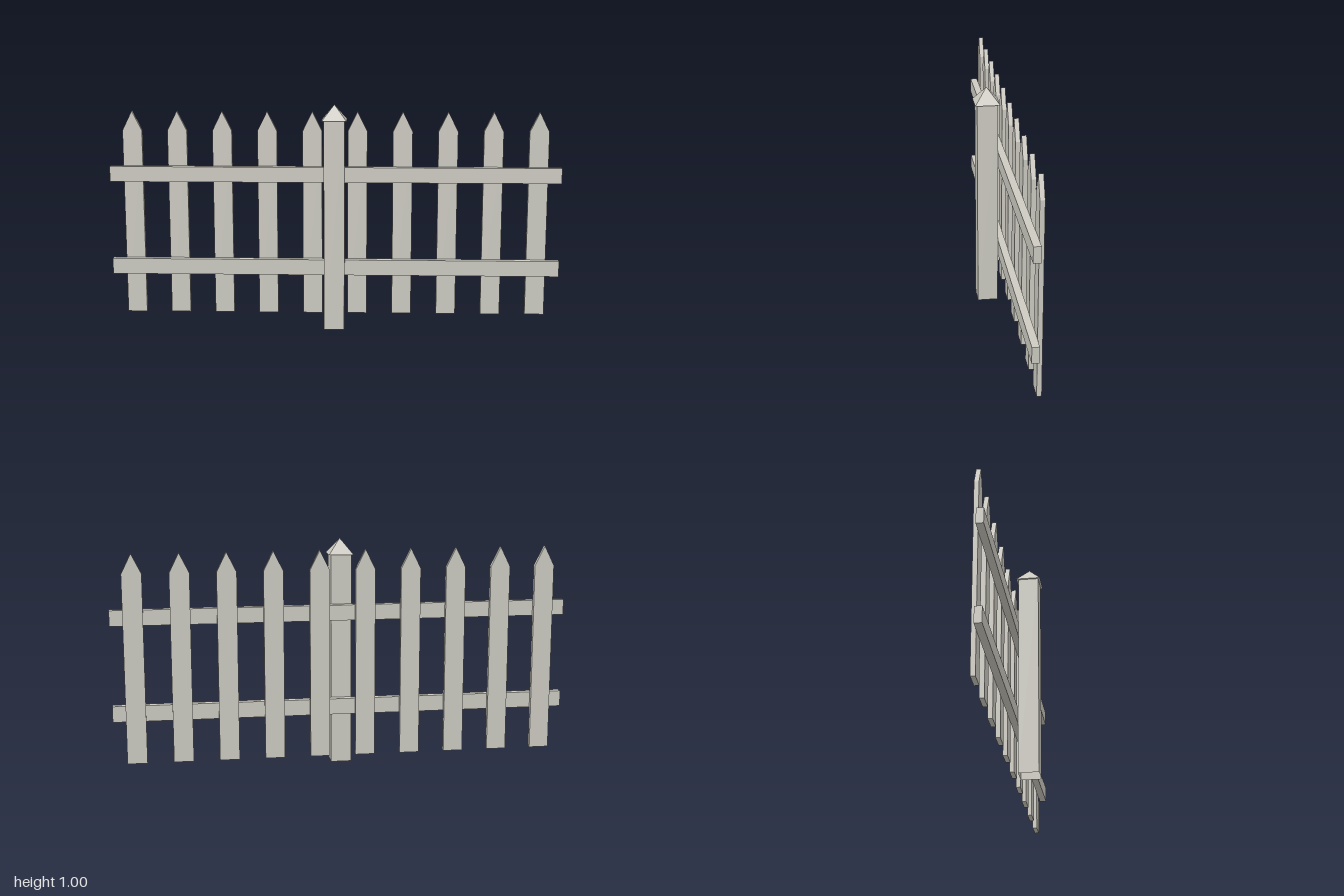
import * as THREE from 'three';

export function createModel() {
  const group = new THREE.Group();
  const wood = new THREE.MeshStandardMaterial({ color: 0xcccac1 });
  wood.name = 'pale wood';
  wood.flatShading = true;
  wood.side = THREE.DoubleSide;

  const add = (name, geometry, x, y, z) => {
    const mesh = new THREE.Mesh(geometry, wood);
    mesh.name = name;
    mesh.position.set(x, y, z);
    group.add(mesh);
  };

  // Square post, hollow at the foot
  const postZ = 0.021;
  const post = new THREE.CylinderGeometry(0.045 * Math.SQRT2, 0.045 * Math.SQRT2, 0.932, 4, 1, true);
  post.rotateY(Math.PI / 4);
  add('post', post, 0, 0.466, postZ);

  // Pyramid cap overhanging the post
  const cap = new THREE.ConeGeometry(0.054 * Math.SQRT2, 0.068, 4);
  cap.rotateY(Math.PI / 4);
  add('postCap', cap, 0, 0.966, postZ);

  // Two horizontal rails behind the post
  add('lowerRail', new THREE.BoxGeometry(2, 0.07, 0.031), 0, 0.262, -0.0395);
  add('upperRail', new THREE.BoxGeometry(2, 0.068, 0.031), 0, 0.682, -0.0395);

  // Pointed pickets on the back of the rails
  const w = 0.043;
  const outline = new THREE.Shape();
  outline.moveTo(-w, 0.044);
  outline.lineTo(w, 0.044);
  outline.lineTo(w, 0.873);
  outline.lineTo(0, 0.96);
  outline.lineTo(-w, 0.873);
  outline.closePath();
  const picket = new THREE.ExtrudeGeometry(outline, { depth: 0.02, bevelEnabled: false });
  for (let i = 0; i < 10; i++) add(`picket${i + 1}`, picket, -0.9 + i * 0.2, 0, -0.075);

  return group;
}
